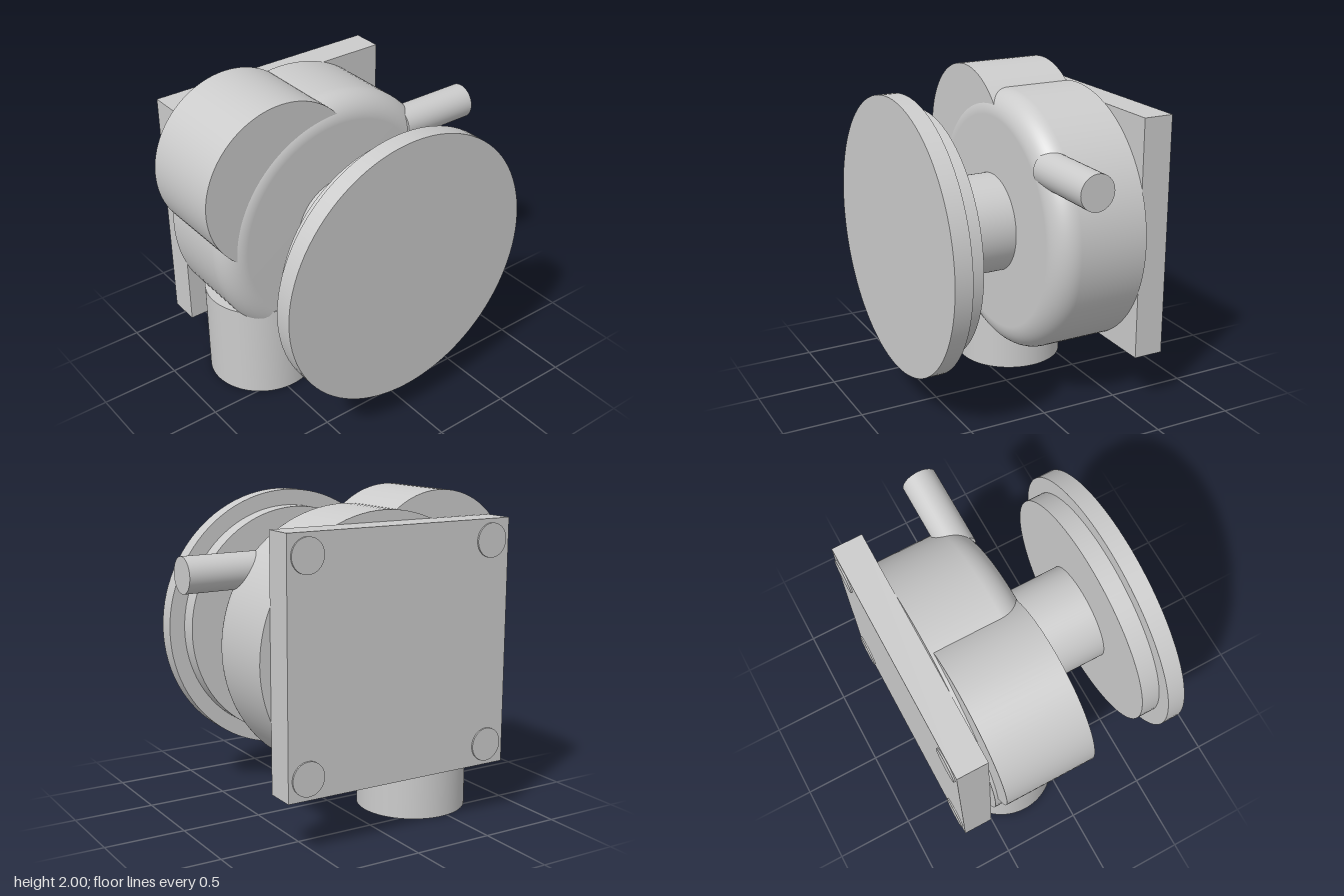
import * as THREE from 'three';

const grey = new THREE.MeshStandardMaterial({ color: 0xcccccc });
const CY = 1.085, CZ = 0.065; // main axis, running along x

export function createModel() {
  const group = new THREE.Group();

  function add(name, geometry, x, y, z) {
    const mesh = new THREE.Mesh(geometry, grey);
    mesh.name = name;
    mesh.position.set(x, y, z);
    group.add(mesh);
    return mesh;
  }

  // Cylinder lying along x from x0 to x1
  function discX(name, radius, x0, x1, y = CY, z = CZ) {
    const geometry = new THREE.CylinderGeometry(radius, radius, x1 - x0, 96);
    geometry.rotateZ(-Math.PI / 2);
    return add(name, geometry, (x0 + x1) / 2, y, z);
  }

  // Mounting plate with four bolt heads on its outer face
  add('mountingPlate', new THREE.BoxGeometry(0.19, 1.505, 1.505), -0.625, CY, CZ);
  for (const sy of [-1, 1]) {
    for (const sz of [-1, 1]) {
      discX('boltHead', 0.103, -0.73, -0.7, CY + sy * 0.625, CZ + sz * 0.625);
    }
  }

  // Main housing: drum with one rounded rim
  const R = 0.82, r = 0.15, x0 = -0.53, x1 = 0.06;
  const at = (radius, x) => new THREE.Vector2(radius, x);
  const wall = [at(R, x0), at(R, x1 - r)];
  const rim = [];
  for (let i = 0; i <= 16; i++) {
    const a = (i / 16) * Math.PI / 2;
    rim.push(at(R - r + r * Math.cos(a), x1 - r + r * Math.sin(a)));
  }
  const profile = [...wall, ...rim.slice(1), at(0, x1)];
  const drum = new THREE.LatheGeometry(profile, 96).rotateZ(-Math.PI / 2);
  add('housing', drum, 0, CY, CZ);
  const back = new THREE.CircleGeometry(R, 96).rotateY(-Math.PI / 2);
  add('housingBack', back, x0, CY, CZ);

  // Secondary drum overlapping the upper front of the housing
  discX('upperDrum', 0.52, -0.51, 0.045, 1.48, 0.465);

  // Shaft and stepped round flange
  discX('shaft', 0.308, 0, 0.52);
  discX('flangeStep', 0.752, 0.5, 0.62);
  discX('flangeDisc', 0.853, 0.615, 0.725);

  // Vertical outlet pipe the model stands on
  add('outletPipe', new THREE.CylinderGeometry(0.343, 0.343, 0.625, 96), -0.263, 0.3125, 0.46);

  // Round lever projecting to the rear
  const lever = new THREE.CylinderGeometry(0.109, 0.109, 0.52, 48).rotateX(Math.PI / 2);
  add('lever', lever, -0.037, 1.545, -0.725);

  return group;
}
